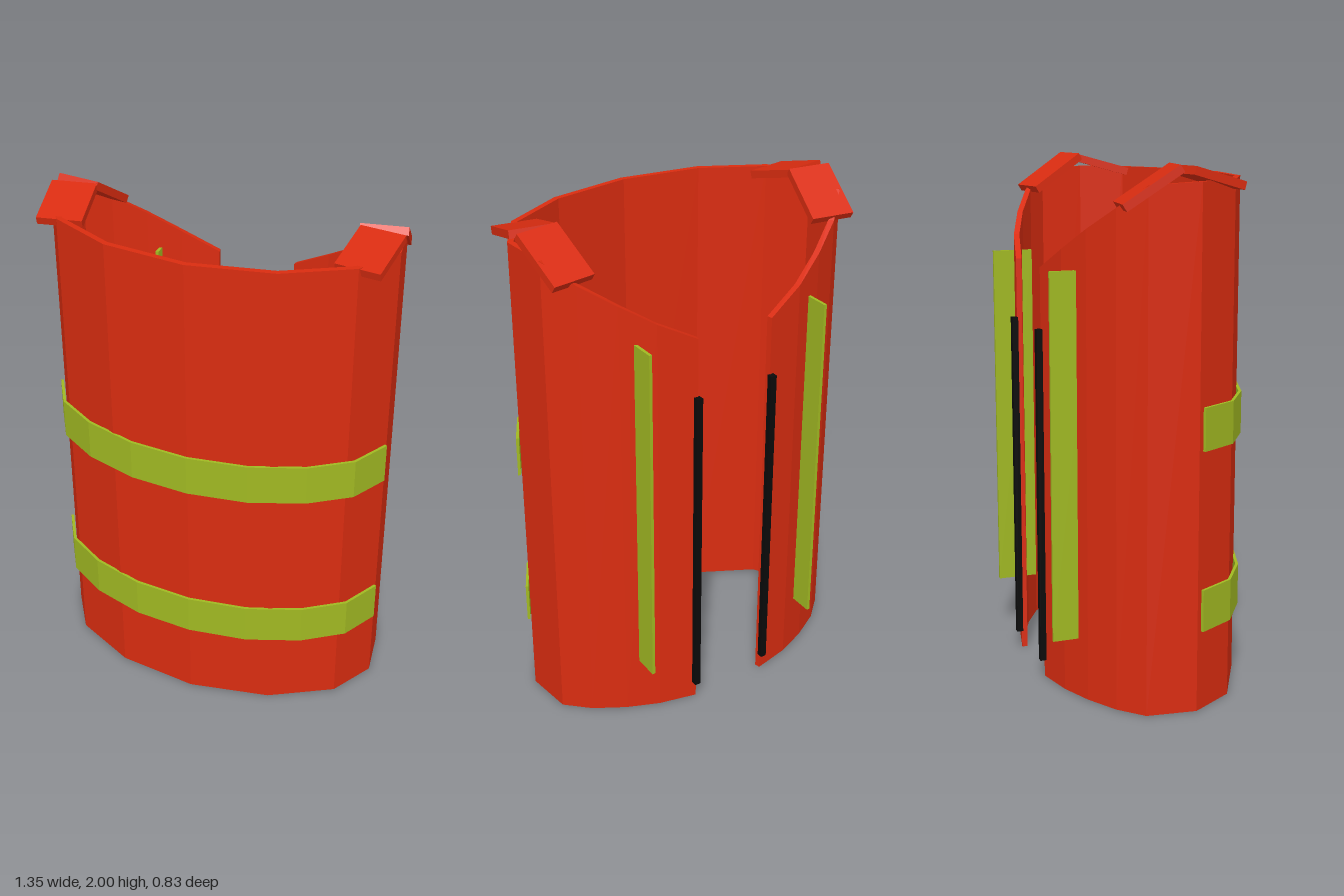
import * as THREE from 'three';

const paint = (color) => new THREE.MeshStandardMaterial({ color, flatShading: true, side: THREE.DoubleSide });

// Complete a half outline [x, z, top], listed from the front centre to the back, on both sides.
function mirrorOutline(half) {
  const left = [...half].reverse();
  return [...left, ...half.slice(1).map(([x, z, top]) => [-x, z, top])];
}

// Upright wall of even thickness that follows an open outline.
function wallGeometry(outline, bottom, thickness) {
  const n = outline.length;
  const normal = (i) => {
    const [a, b] = [outline[i], outline[i + 1]];
    return new THREE.Vector2(b[1] - a[1], a[0] - b[0]).normalize();
  };
  const rings = outline.map(([x, z, top], i) => {
    const before = normal(Math.max(i - 1, 0));
    const after = normal(Math.min(i, n - 2));
    const mitre = before.clone().add(after).normalize();
    mitre.multiplyScalar(thickness / mitre.dot(after));
    const [ix, iz] = [x - mitre.x, z - mitre.y];
    return { ob: [x, bottom, z], ot: [x, top, z], ib: [ix, bottom, iz], it: [ix, top, iz] };
  });
  const pos = [];
  const quad = (a, b, c, d) => pos.push(...a, ...b, ...c, ...a, ...c, ...d);
  for (let i = 0; i < n - 1; i++) {
    const [a, b] = [rings[i], rings[i + 1]];
    quad(b.ob, a.ob, a.ot, b.ot);
    quad(a.ib, b.ib, b.it, a.it);
    quad(b.ot, a.ot, a.it, b.it);
    quad(b.ib, a.ib, a.ob, b.ob);
  }
  const [s, e] = [rings[0], rings[n - 1]];
  quad(s.ob, s.ib, s.it, s.ot);
  quad(e.ib, e.ob, e.ot, e.it);
  const geometry = new THREE.BufferGeometry();
  geometry.setAttribute('position', new THREE.Float32BufferAttribute(pos, 3));
  geometry.computeVertexNormals();
  return geometry;
}

export function createModel() {
  const group = new THREE.Group();
  const red = paint(0xd92c10);
  const green = paint(0xa0b822);
  const black = paint(0x0a0a0a);

  const add = (name, geometry, material, position = [0, 0, 0]) => {
    const mesh = new THREE.Mesh(geometry, material);
    mesh.name = name;
    mesh.position.set(...position);
    group.add(mesh);
    return mesh;
  };

  // Vest body, open at the back, with a rim that dips towards the opening
  const body = mirrorOutline([
    [0, 0.4, 1.94], [0.32, 0.35, 1.94], [0.565, 0.22, 1.94], [0.668, 0.05, 1.94], [0.645, -0.14, 1.93],
    [0.555, -0.225, 1.85], [0.435, -0.295, 1.77], [0.31, -0.347, 1.69], [0.16, -0.382, 1.61],
  ]);
  add('vestBody', wallGeometry(body, 0, 0.022), red);

  // Horizontal bands round the front
  for (const [name, bottom] of [['lowerBand', 0.31], ['upperBand', 0.99]]) {
    const top = bottom + 0.16;
    const band = mirrorOutline([
      [0, 0.411, top], [0.233, 0.386, top], [0.44, 0.315, top], [0.595, 0.213, top], [0.675, 0.07, top],
    ]);
    add(name, wallGeometry(band, bottom, 0.011), green);
  }

  for (const [side, s] of [['left', 1], ['right', -1]]) {
    // Shoulder flaps, pitched like a roof
    const front = add(side + 'FrontShoulder', new THREE.BoxGeometry(0.172, 0.03, 0.215), red, [s * 0.574, 1.95, 0.108]);
    front.rotation.set(0.27, -s * 0.155, 0, 'YXZ');
    const back = add(side + 'BackShoulder', new THREE.BoxGeometry(0.172, 0.03, 0.24), red, [s * 0.572, 1.92, -0.112]);
    back.rotation.set(-0.58, s * 0.155, 0, 'YXZ');

    // Upright strip and fastener at the back
    add(side + 'BackStrip', new THREE.BoxGeometry(0.012, 1.39, 0.16), green, [s * 0.38, 0.925, -0.335]);
    add(side + 'Fastener', new THREE.BoxGeometry(0.024, 1.31, 0.024), black, [s * 0.164, 0.725, -0.391]);
  }
  return group;
}
